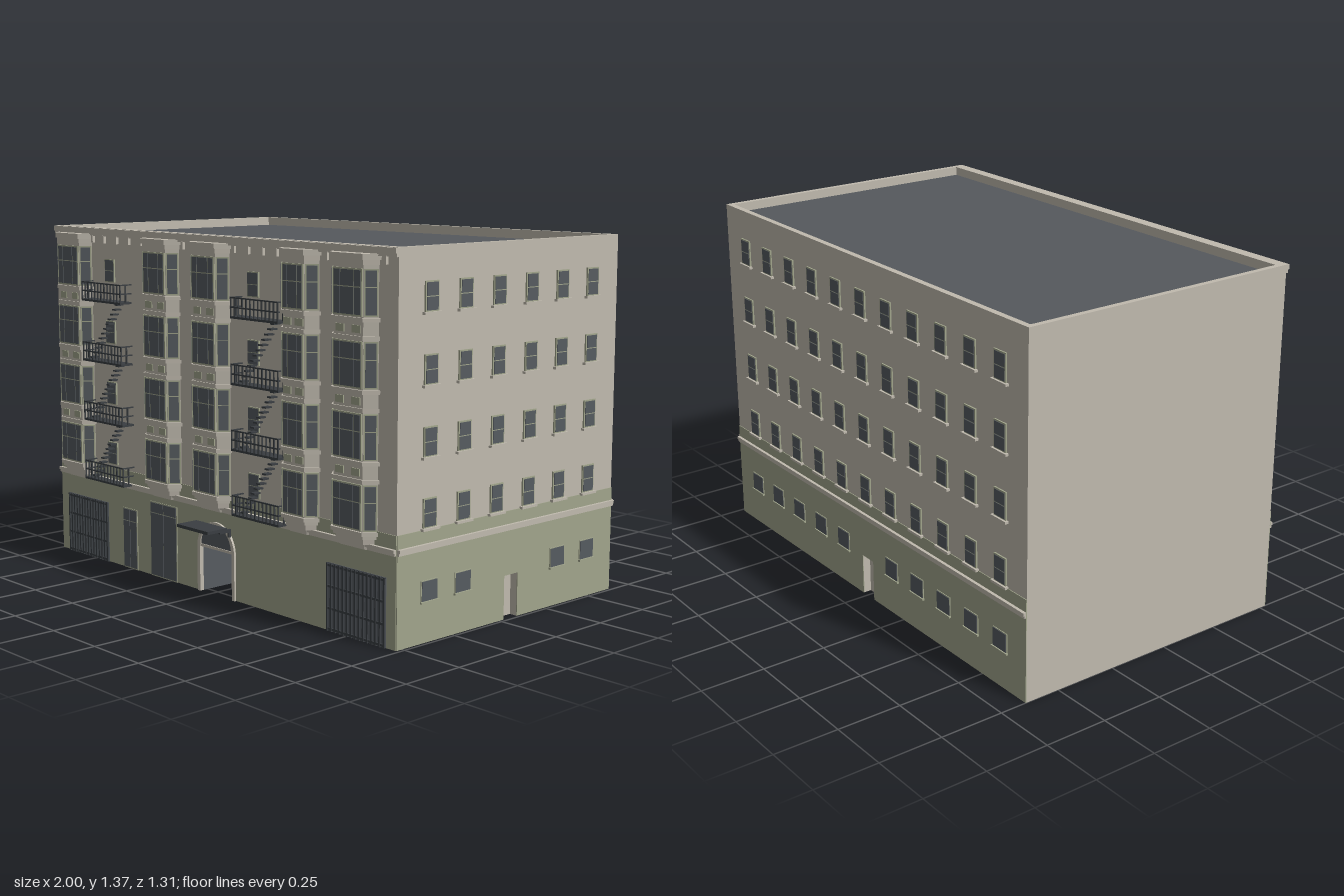
import * as THREE from 'three';

const paint = (name, color) => Object.assign(new THREE.MeshStandardMaterial({ color }), { name });
const M = {
  stone: paint('warm stone', 0xc0baae),
  green: paint('sage green', 0xa1a58c),
  glass: paint('dark glass', 0x565b60),
  roof: paint('slate roof', 0x55595d),
  iron: paint('black iron', 0x3a3e42),
};

// Building extents
const X0 = -1, X1 = 0.985, Z0 = -0.642, Z1 = 0.527, H = 1.367;
const CX = (X0 + X1) / 2, CZ = (Z0 + Z1) / 2, W = X1 - X0, D = Z1 - Z0;

function add(g, name, geo, mat) {
  const m = new THREE.Mesh(geo, mat);
  m.name = name;
  g.add(m);
  return m;
}
// Box given by its minimum and maximum corners
function box(g, name, mat, x0, x1, y0, y1, z0, z1) {
  const geo = new THREE.BoxGeometry(x1 - x0, y1 - y0, z1 - z0);
  geo.translate((x0 + x1) / 2, (y0 + y1) / 2, (z0 + z1) / 2);
  return add(g, name, geo, mat);
}
function sub(parent, name, x = 0, y = 0, z = 0, ry = 0) {
  const g = new THREE.Group();
  g.name = name;
  g.position.set(x, y, z);
  g.rotation.y = ry;
  parent.add(g);
  return g;
}

// Flat wall panel with a doorway notch cut up from its lower edge
function panel(g, name, mat, x0, x1, h, door, z, depth) {
  const pts = [[x0, 0]];
  if (door) pts.push([door[0], 0], [door[0], door[2]], [door[1], door[2]], [door[1], 0]);
  pts.push([x1, 0], [x1, h], [x0, h]);
  const s = new THREE.Shape(pts.map(p => new THREE.Vector2(...p)));
  const geo = new THREE.ExtrudeGeometry(s, { depth, bevelEnabled: false });
  add(g, name, geo.translate(0, 0, z), mat);
}

// Inward-facing recess behind a doorway
function recess(g, [x0, x1, h], depth, leftMat) {
  const r = sub(g, 'doorRecess');
  const w = x1 - x0, cx = (x0 + x1) / 2;
  add(r, 'doorPanel', new THREE.PlaneGeometry(w, h).translate(cx, h / 2, -depth), M.stone);
  add(r, 'leftReveal', new THREE.PlaneGeometry(depth, h).rotateY(Math.PI / 2).translate(x0, h / 2, -depth / 2), leftMat);
  add(r, 'rightReveal', new THREE.PlaneGeometry(depth, h).rotateY(-Math.PI / 2).translate(x1, h / 2, -depth / 2), M.stone);
  add(r, 'soffit', new THREE.PlaneGeometry(w, depth).rotateX(Math.PI / 2).translate(cx, h, -depth / 2), M.stone);
}

// Frame plate with a grid of glass panes; cols and rows are lists of fractions
function glazing(g, name, x, y0, y1, w, cols, rows, gap = 0.007) {
  const win = sub(g, name, x);
  box(win, 'frame', M.green, -w / 2, w / 2, y0, y1, 0, 0.006);
  const iw = w - gap, ih = y1 - y0 - gap;
  let a = -w / 2 + gap / 2;
  for (const c of cols) {
    let b = y0 + gap / 2;
    for (const r of rows) {
      box(win, 'pane', M.glass, a + gap / 4, a + c * iw - gap / 4, b + gap / 4, b + r * ih - gap / 4, 0.001, 0.008);
      b += r * ih;
    }
    a += c * iw;
  }
  return win;
}
function sashWindow(g, x, y) {
  const win = glazing(g, 'sashWindow', x, y, y + 0.105, 0.066, [1], [0.5, 0.5]);
  box(win, 'sill', M.stone, -0.042, 0.042, y - 0.008, y + 0.001, 0, 0.014);
}
function lowWindow(g, x) {
  const win = glazing(g, 'groundWindow', x, 0.147, 0.223, 0.082, [1], [1], 0.004);
  box(win, 'sill', M.green, -0.044, 0.044, 0.142, 0.149, 0, 0.012);
}

const STOREYS = [0.405, 0.652, 0.899, 1.146];

// One facade: stone wall, green base and belt course in local coordinates
function facade(root, name, pos, ry, x0, x1, door, base) {
  const g = sub(root, name, ...pos, ry);
  panel(g, 'wall', M.stone, x0, x1, H, door, -0.006, 0.006);
  if (base) {
    panel(g, 'greenBase', M.green, x0, x1, 0.4, door, 0, 0.003);
    box(g, 'beltCourse', M.stone, x0, x1, 0.33, 0.342, 0, 0.011);
    box(g, 'beltCap', M.stone, x0, x1, 0.34, 0.352, 0, 0.015);
  }
  return g;
}

// Vertical prism with the plan of a canted bay
function bayPrism(g, name, mat, hb, hf, d, y0, y1) {
  const s = new THREE.Shape([[-hb, 0], [hb, 0], [hf, d], [-hf, d]].map(p => new THREE.Vector2(...p)));
  const geo = new THREE.ExtrudeGeometry(s, { depth: y1 - y0, bevelEnabled: false });
  add(g, name, geo.rotateX(Math.PI / 2).translate(0, y1, 0), mat);
}
function bay(front, x, half) {
  const g = sub(front, 'bayWindow', x);
  const hb = half, hf = half - 0.036, d = 0.038;
  const ledge = (y0, y1, e) => bayPrism(g, 'ledge', M.stone, hb + e, hf + e * 0.6, d + e, y0, y1);
  bayPrism(g, 'bayBody', M.stone, hb, hf, d, 0.37, 1.335);
  ledge(0.33, 0.35, -0.022);
  ledge(0.35, 0.372, -0.008);
  ledge(1.305, 1.322, 0.004);
  ledge(1.322, 1.342, 0.011);
  const len = Math.hypot(hb - hf, d), ang = Math.atan2(d, hb - hf);
  for (const y of [0.4, 0.644, 0.888, 1.132]) {
    ledge(y - 0.018, y - 0.004, 0.008);
    if (y < 1.1) {
      ledge(y + 0.164, y + 0.178, 0.006);
      for (const s of [-1, 1])
        box(g, 'spandrelPanel', M.green, s * hf * 0.55 - 0.02, s * hf * 0.55 + 0.02, y + 0.188, y + 0.214, d, d + 0.004);
    }
    glazing(sub(g, 'frontLight', 0, 0, d), 'casement', 0, y, y + 0.16, hf * 2 - 0.004, [0.25, 0.5, 0.25], [0.62, 0.38]);
    for (const s of [-1, 1])
      glazing(sub(g, 'sideLight', s * (hb + hf) / 2, 0, d / 2, s * ang), 'casement', 0, y, y + 0.16, len - 0.004, [1], [0.62, 0.38]);
  }
}

function fireEscape(front, x) {
  const g = sub(front, 'fireEscape', x);
  const w = 0.262, d = 0.056, t = 0.0025;
  const levels = [0.35, 0.594, 0.838, 1.082];
  levels.forEach((y, i) => {
    box(g, 'platform', M.iron, 0, w, y - 0.006, y + 0.002, 0, d);
    for (const h of [0.035, 0.07]) {
      box(g, 'frontRail', M.iron, 0, w, y + h - t, y + h + t, d - 2 * t, d);
      for (const e of [0, w - 2 * t]) box(g, 'sideRail', M.iron, e, e + 2 * t, y + h - t, y + h + t, 0, d);
    }
    for (let k = 0; k <= 12; k++) {
      const px = k * (w - 2 * t) / 12;
      box(g, 'baluster', M.iron, px, px + 1.6 * t, y, y + 0.07, d - 2 * t, d);
    }
    for (const e of [0, w - 2 * t]) box(g, 'sideBaluster', M.iron, e, e + 2 * t, y, y + 0.07, d / 2 - t, d / 2 + t);
    // Treads climbing to the next platform
    if (i < 3) for (let k = 0; k < 12; k++) {
      const f = (k + 0.5) / 12, tx = 0.035 + f * 0.19, ty = y + f * 0.244;
      box(g, 'tread', M.iron, tx - 0.011, tx + 0.011, ty - 0.003, ty + 0.003, 0.014, 0.044);
    }
  });
}

function gate(front, x0, x1) {
  const g = sub(front, 'barredGate');
  box(g, 'gateBack', M.glass, x0, x1, 0, 0.248, 0, 0.006);
  for (let k = 0; k <= 14; k++) {
    const x = x0 + (x1 - x0 - 0.007) * k / 14;
    box(g, 'bar', M.iron, x, x + 0.007, 0, 0.248, 0.005, 0.013);
  }
  for (const y of [0.005, 0.08, 0.16, 0.236]) box(g, 'crossBar', M.iron, x0, x1, y, y + 0.008, 0.005, 0.012);
}

function entrance(front, door) {
  const g = sub(front, 'entrance', (door[0] + door[1]) / 2);
  const s = new THREE.Shape();
  s.moveTo(-0.11, 0);
  s.lineTo(-0.11, 0.175);
  s.absarc(0, 0.175, 0.11, Math.PI, 0, true);
  s.lineTo(0.11, 0);
  s.lineTo(0.095, 0);
  s.lineTo(0.095, 0.182);
  s.absarc(0, 0.182, 0.092, 0, Math.PI, false);
  s.lineTo(-0.095, 0);
  add(g, 'archSurround', new THREE.ExtrudeGeometry(s, { depth: 0.012, bevelEnabled: false, curveSegments: 16 }), M.stone);
  const half = new THREE.CircleGeometry(0.093, 24, 0, Math.PI).translate(0, 0.182, 0.007);
  add(g, 'lunette', half, M.glass);
  box(g, 'lintel', M.stone, -0.095, 0.095, 0.178, 0.188, 0, 0.011);
  // Canopy and its brackets
  box(g, 'canopy', M.iron, -0.091, 0.091, 0.27, 0.282, 0.03, 0.123);
  for (const x of [-0.087, 0.079]) {
    box(g, 'canopyArm', M.iron, x, x + 0.008, 0.262, 0.274, 0.008, 0.06);
    box(g, 'canopyBracket', M.iron, x, x + 0.008, 0.243, 0.274, 0.006, 0.018);
  }
}

export function createModel() {
  const root = new THREE.Group();
  root.name = 'apartmentBuilding';

  // Four walls; the -x wall is a blank party wall
  const frontDoor = [-0.06, 0.13, 0.18], sideDoor = [0.024, 0.097, 0.163], backDoor = [-0.027, 0.047, 0.163];
  const front = facade(root, 'frontFacade', [0, 0, Z1], 0, X0, X1, frontDoor, true);
  const side = facade(root, 'leftFacade', [X1, 0, 0], Math.PI / 2, -Z1, -Z0, sideDoor, true);
  const back = facade(root, 'backFacade', [0, 0, Z0], Math.PI, -X1, -X0, backDoor, true);
  facade(root, 'partyWall', [X0, 0, 0], -Math.PI / 2, Z0, Z1, null, false);
  recess(front, frontDoor, 0.18, M.glass);
  recess(side, sideDoor, 0.03, M.stone);
  recess(back, backDoor, 0.03, M.stone);

  // Roof and parapet
  const roof = sub(root, 'roof');
  box(roof, 'roofDeck', M.roof, X0 + 0.01, X1 - 0.01, 1.315, 1.332, Z0 + 0.01, Z1 - 0.01);
  for (const s of [-1, 1])
    box(roof, 'sideParapet', M.stone, CX + s * (W / 2 - 0.011) - 0.011, CX + s * (W / 2 - 0.011) + 0.011, 1.315, H, CZ - D / 2, CZ + D / 2);
  box(roof, 'backParapet', M.stone, X0, X1, 1.315, H, Z0, Z0 + 0.024);
  box(roof, 'frontParapet', M.stone, X0, X1, 1.315, H, Z1 - 0.034, Z1);

  // Front cornice with small brackets
  box(front, 'cornice', M.stone, X0, X1, 1.347, H - 0.001, 0, 0.015);
  box(front, 'corniceStep', M.stone, X0, X1, 1.335, 1.348, 0, 0.009);
  for (const x of [-0.735, -0.66, -0.575, -0.495, -0.415, -0.15, 0.15, 0.23, 0.31, 0.385, 0.645, 0.93])
    box(front, 'corniceBracket', M.stone, x - 0.006, x + 0.006, 1.308, 1.338, 0, 0.011);

  // Side and back windows
  const sideX = [-0.371, -0.2, -0.027, 0.147, 0.318, 0.491];
  sideX.forEach((x, i) => {
    for (const y of STOREYS) sashWindow(side, x, y);
    if (i < 2 || i > 3) lowWindow(side, x);
  });
  for (let i = 0; i < 11; i++) {
    const x = 0.01 + (i - 5) * 0.169;
    for (const y of STOREYS) sashWindow(back, x, y);
    if (i !== 5) lowWindow(back, x);
  }

  // Front bays, fire escapes and the small windows behind them
  for (const [x, half] of [[-0.86, 0.108], [-0.286, 0.104], [0.013, 0.104], [0.51, 0.092], [0.786, 0.108]]) bay(front, x, half);
  for (const x of [-0.75, 0.185]) fireEscape(front, x);
  for (const x of [-0.626, 0.254])
    for (const y of STOREYS) glazing(front, 'landingWindow', x, y + 0.008, y + 0.1, 0.062, [1], [0.5, 0.5], 0.005);

  // Street level
  gate(front, -0.94, -0.665);
  gate(front, 0.65, 0.94);
  glazing(front, 'shopDoor', -0.515, 0, 0.247, 0.094, [0.5, 0.5], [0.8, 0.2], 0.006);
  glazing(front, 'shopWindow', -0.294, 0, 0.302, 0.17, [0.5, 0.5], [0.86, 0.14], 0.006);
  entrance(front, frontDoor);
  return root;
}
